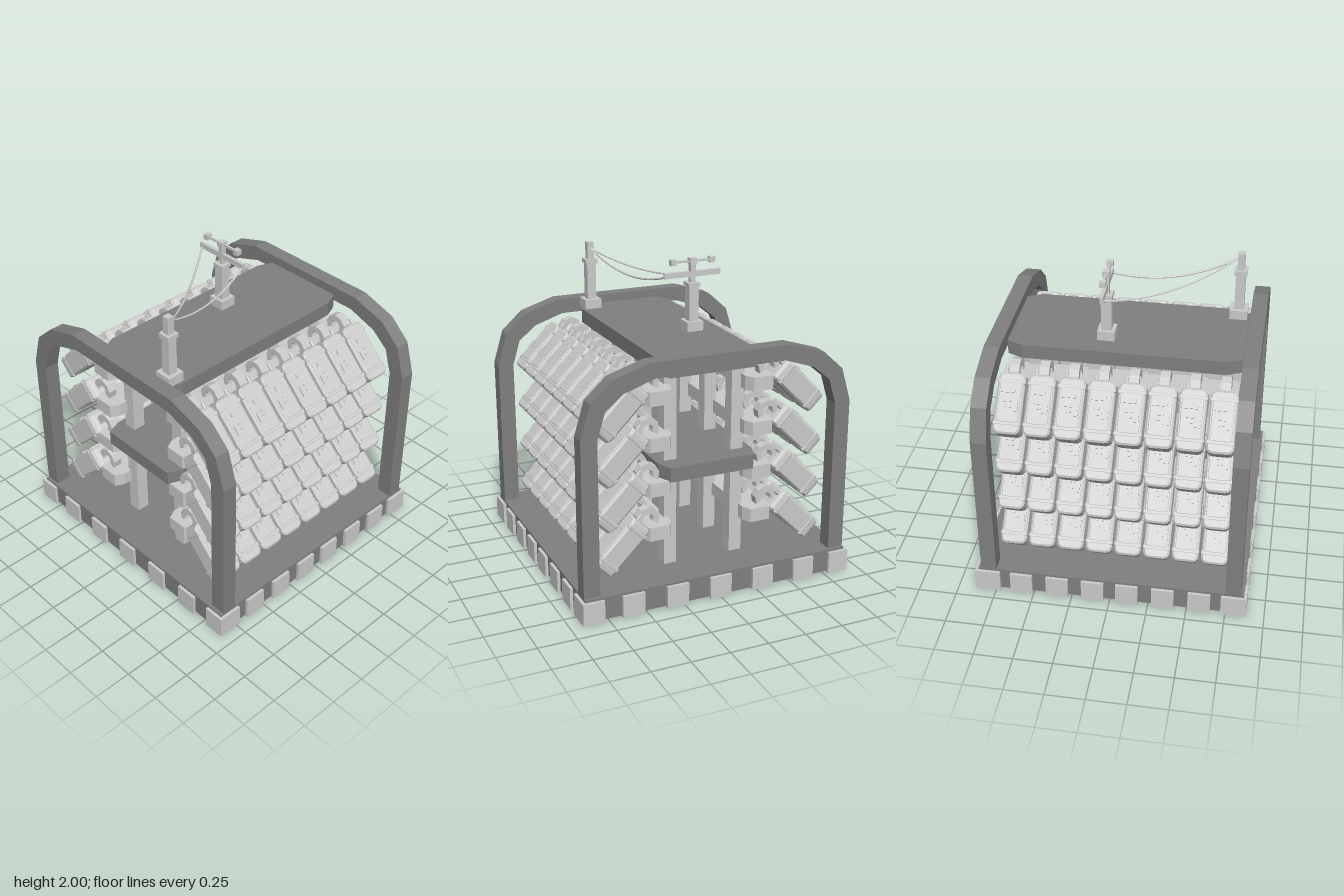
import * as THREE from 'three';

const light = new THREE.MeshStandardMaterial({ color: 0xcccccc, flatShading: true });
const dark = new THREE.MeshStandardMaterial({ color: 0x808080, flatShading: true });

function add(parent, name, geometry, material, x = 0, y = 0, z = 0) {
  const mesh = new THREE.Mesh(geometry, material);
  mesh.name = name;
  mesh.position.set(x, y, z);
  parent.add(mesh);
  return mesh;
}
const box = (w, h, d) => new THREE.BoxGeometry(w, h, d);
const polygon = (pts) => new THREE.Shape(pts.map(([x, y]) => new THREE.Vector2(x, y)));

// Flat plate with cut corners, lying from y = 0 up to its thickness
function plateGeometry(hw, hd, cutX, cutZ, thickness) {
  const shape = polygon([
    [hw, -hd + cutZ], [hw, hd - cutZ], [hw - cutX, hd], [-hw + cutX, hd],
    [-hw, hd - cutZ], [-hw, -hd + cutZ], [-hw + cutX, -hd], [hw - cutX, -hd]]);
  return new THREE.ExtrudeGeometry(shape, { depth: thickness, bevelEnabled: false }).rotateX(-Math.PI / 2);
}

// Profile in (z, y), extruded along x and centred on it
function sideExtrude(shape, width) {
  return new THREE.ExtrudeGeometry(shape, { depth: width, bevelEnabled: false })
    .translate(0, 0, -width / 2).rotateY(-Math.PI / 2);
}

// Rounded slab, face towards +z, bevelled on both faces
function slabGeometry(w, h, d, r, bevel) {
  const a = w / 2 - bevel, b = h / 2 - bevel;
  const s = new THREE.Shape();
  s.moveTo(-a + r, -b);
  s.lineTo(a - r, -b).quadraticCurveTo(a, -b, a, -b + r);
  s.lineTo(a, b - r).quadraticCurveTo(a, b, a - r, b);
  s.lineTo(-a + r, b).quadraticCurveTo(-a, b, -a, b - r);
  s.lineTo(-a, -b + r).quadraticCurveTo(-a, -b, -a + r, -b);
  return new THREE.ExtrudeGeometry(s, {
    depth: d - 2 * bevel, bevelEnabled: true, bevelSize: bevel,
    bevelThickness: bevel, bevelSegments: 1, curveSegments: 3,
  }).translate(0, 0, -d / 2 + bevel);
}

// Faceted arch-shaped hook
function hookGeometry() {
  const pts = [], n = 6, a0 = -0.35, a1 = Math.PI + 0.5;
  for (let i = 0; i <= n; i++) {
    const a = a0 + (a1 - a0) * i / n;
    pts.push([0.076 * Math.cos(a), 0.076 * Math.sin(a)]);
  }
  for (let i = n; i >= 0; i--) {
    const a = a0 + (a1 - a0) * i / n;
    pts.push([0.036 * Math.cos(a), 0.036 * Math.sin(a)]);
  }
  return sideExtrude(polygon(pts), 0.06);
}

const geo = {
  body: slabGeometry(0.17, 0.385, 0.145, 0.03, 0.012),
  band: slabGeometry(0.175, 0.028, 0.15, 0.004, 0.005),
  panel: slabGeometry(0.135, 0.25, 0.01, 0.015, 0.004),
  hook: hookGeometry(),
  stub: new THREE.CylinderGeometry(0.011, 0.011, 0.05, 6),
  label: box(0.09, 0.03, 0.014),
  key: box(0.036, 0.06, 0.014),
  bar: box(0.05, 0.012, 0.014),
  shortBar: box(0.032, 0.012, 0.014),
};

// One tilted pod with its hook; s mirrors the details from side to side
function makePod(s) {
  const pod = new THREE.Group();
  pod.name = 'pod';
  const tilted = new THREE.Group();
  tilted.name = 'podBody';
  tilted.rotation.x = -Math.PI / 4;
  pod.add(tilted);
  add(tilted, 'shell', geo.body, light);
  for (const y of [-0.125, 0.135]) add(tilted, 'band', geo.band, light, 0, y, 0);
  add(tilted, 'facePanel', geo.panel, light, 0, 0.005, 0.073);
  add(tilted, 'label', geo.label, light, 0.01 * s, 0.078, 0.08);
  add(tilted, 'key', geo.key, light, -0.04 * s, -0.02, 0.08);
  add(tilted, 'bar', geo.bar, light, 0.008 * s, 0.012, 0.08);
  add(tilted, 'shortBar', geo.shortBar, light, 0, -0.022, 0.08);
  add(tilted, 'stub', geo.stub, light, 0.047 * s, 0.205, 0.035);
  add(pod, 'hook', geo.hook, light, 0, 0.142, -0.19);
  return pod;
}

// Stepped square pole: list of [width, bottom, top]
function makePole(parent, name, x, z, steps) {
  const pole = new THREE.Group();
  pole.name = name;
  for (const [w, y0, y1] of steps) add(pole, 'section', box(w, y1 - y0, w), light, x, (y0 + y1) / 2, z);
  parent.add(pole);
  return pole;
}

export function createModel() {
  const model = new THREE.Group();
  model.name = 'podRack';

  // Base slab with blocks around its rim
  add(model, 'baseSlab', box(1.73, 0.15, 1.8), dark, 0, 0.085, 0);
  for (const s of [-1, 1]) {
    for (const x of [-0.58, -0.345, -0.112, 0.112, 0.345, 0.58])
      add(model, 'rimBlock', box(0.145, 0.145, 0.08), light, x, 0.0725, s * 0.88);
    for (const z of [-0.59, -0.295, 0, 0.295, 0.59])
      add(model, 'rimBlock', box(0.08, 0.145, 0.145), light, s * 0.845, 0.0725, z);
    for (const t of [-1, 1])
      add(model, 'cornerBlock', box(0.165, 0.145, 0.14), light, s * 0.8025, 0.0725, t * 0.85);
  }

  // Faceted side arches
  const outer = [[0.9, 0.15], [0.9, 1.17], [0.835, 1.385], [0.695, 1.512], [0.46, 1.586]];
  const inner = [[0.795, 0.15], [0.795, 1.16], [0.745, 1.325], [0.63, 1.42], [0.43, 1.487]];
  const flip = (pts) => pts.map(([z, y]) => [-z, y]).reverse();
  const archGeo = sideExtrude(polygon([...outer, ...flip(outer), ...inner.map(([z, y]) => [-z, y]), ...[...inner].reverse()]), 0.1);
  for (const s of [-1, 1]) add(model, 'sideArch', archGeo, dark, s * 0.795, 0, 0);

  // Roof, middle floor and inner posts
  const deck = plateGeometry(0.74, 0.325, 0.1, 0.042, 0.095);
  add(model, 'roof', deck, dark, 0, 1.437, 0);
  add(model, 'middleFloor', deck, dark, 0, 0.77, 0);
  for (const x of [-0.57, -0.19, 0.19, 0.57])
    for (const z of [-0.23, 0.23]) add(model, 'post', box(0.085, 1.3, 0.085), light, x, 0.8, z);

  // Four tiers of shelves and pods on both faces
  const shelfGeo = plateGeometry(0.73, 0.097, 0.06, 0.03, 0.09);
  for (const s of [-1, 1]) {
    const side = new THREE.Group();
    side.name = s > 0 ? 'frontPods' : 'backPods';
    if (s < 0) side.rotation.y = Math.PI;
    for (let row = 0; row < 4; row++) {
      const y = 0.385 + row * 0.2925;
      add(side, 'shelf', shelfGeo, light, 0, y + 0.01, 0.347);
      for (let col = 0; col < 8; col++) {
        const pod = makePod(s);
        pod.position.set((col - 3.5) * 0.187, y, 0.6);
        side.add(pod);
      }
    }
    model.add(side);
  }

  // Rooftop poles
  makePole(model, 'plainPole', -0.667, 0.25,
    [[0.115, 1.53, 1.595], [0.062, 1.595, 1.84], [0.082, 1.84, 1.87], [0.045, 1.87, 1.985]]);
  const mast = makePole(model, 'crossPole', 0.13, -0.14,
    [[0.112, 1.53, 1.595], [0.066, 1.595, 1.82], [0.08, 1.82, 1.845], [0.035, 1.845, 1.96], [0.045, 1.96, 2]]);
  add(mast, 'crossArm', box(0.022, 0.036, 0.39), light, 0.13, 1.898, -0.14);
  add(mast, 'topRod', box(0.014, 0.014, 0.28), light, 0.13, 1.98, -0.14);
  for (const z of [-0.275, -0.005]) add(mast, 'insulator', box(0.04, 0.036, 0.036), light, 0.13, 1.98, z);

  // Sagging wires
  const start = new THREE.Vector3(-0.645, 1.945, 0.25);
  for (const z of [0.045, -0.325]) {
    const end = new THREE.Vector3(0.13, 1.89, z);
    const mid = start.clone().lerp(end, 0.5).setY(1.757);
    const curve = new THREE.QuadraticBezierCurve3(start, mid, end);
    add(model, 'wire', new THREE.TubeGeometry(curve, 20, 0.007, 6), light);
  }
  return model;
}
